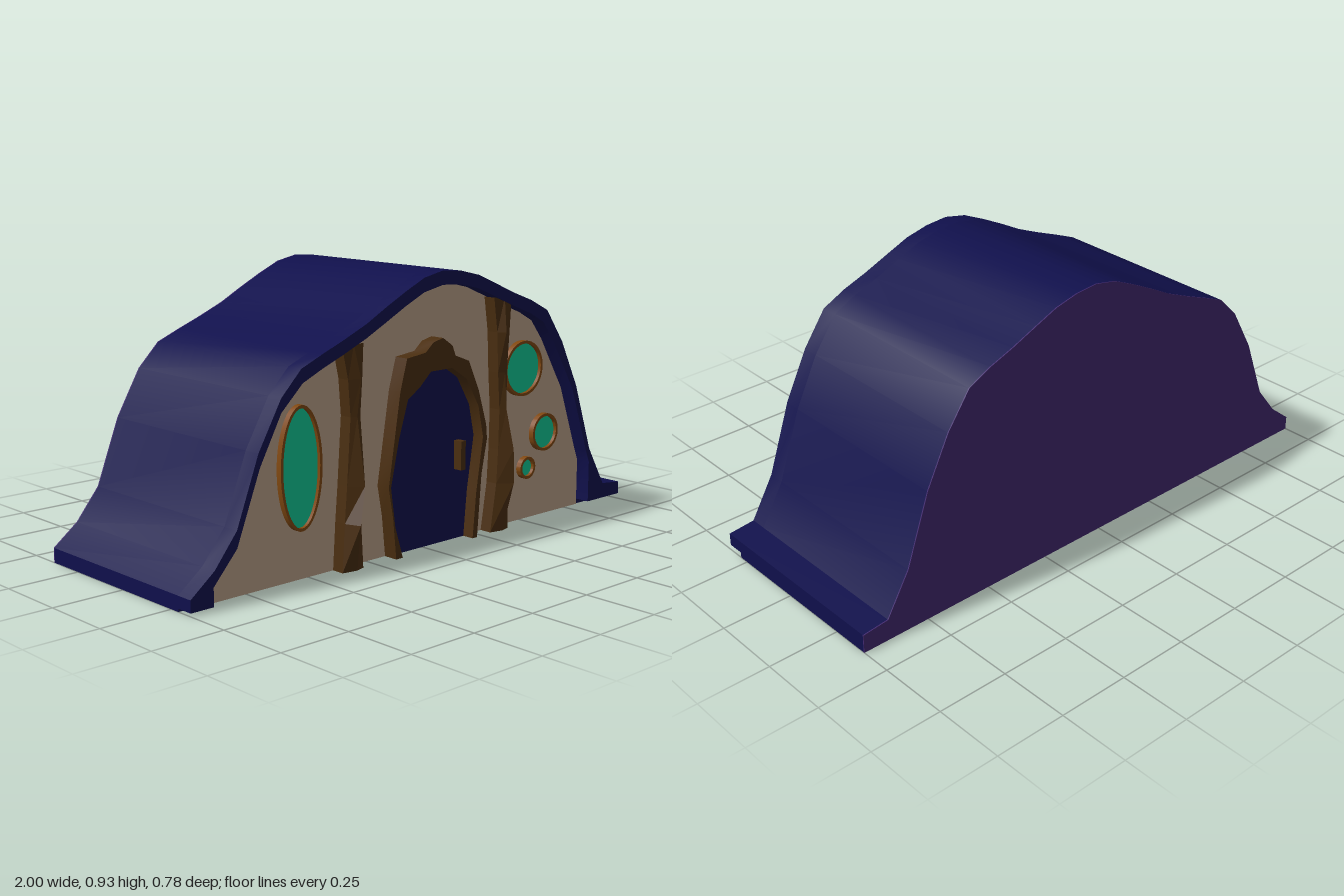
import * as THREE from 'three';
import { toCreasedNormals } from 'three/addons/utils/BufferGeometryUtils.js';

const BACK = -0.39, WALL = 0.29, FRONT = 0.345;

// Roof line from left to right, seen from the front
const ROOF = [[-1, 0.05], [-0.91, 0.12], [-0.825, 0.225], [-0.74, 0.445], [-0.65, 0.6], [-0.57, 0.68],
  [-0.485, 0.715], [-0.395, 0.75], [-0.3, 0.79], [-0.215, 0.835], [-0.13, 0.877], [-0.045, 0.915],
  [0.04, 0.932], [0.125, 0.925], [0.21, 0.905], [0.295, 0.87], [0.39, 0.83], [0.48, 0.797],
  [0.565, 0.755], [0.65, 0.635], [0.735, 0.465], [0.82, 0.22], [0.905, 0.075], [1, 0.065]];

// Underside of the overhanging roof, also the outline of the front wall
const INNER = [[-0.915, 0], [-0.915, 0.07], [-0.825, 0.17], [-0.735, 0.4], [-0.65, 0.555], [-0.565, 0.635],
  [-0.485, 0.67], [-0.395, 0.705], [-0.3, 0.745], [-0.215, 0.787], [-0.13, 0.83], [-0.045, 0.868],
  [0.04, 0.885], [0.125, 0.88], [0.21, 0.86], [0.295, 0.825], [0.39, 0.785], [0.48, 0.75],
  [0.545, 0.715], [0.6, 0.645], [0.715, 0.455], [0.8, 0.22], [0.82, 0.17], [0.82, 0]];

const DOOR_OUTER = [[-0.165, 0], [-0.18, 0.14], [-0.2, 0.245], [-0.175, 0.4], [-0.15, 0.555], [-0.12, 0.66],
  [-0.035, 0.67], [0, 0.7], [0.045, 0.71], [0.09, 0.68], [0.105, 0.645], [0.17, 0.62], [0.22, 0.515],
  [0.26, 0.39], [0.265, 0.34], [0.24, 0.22], [0.222, 0]];
const DOOR_INNER = [[-0.135, 0], [-0.17, 0.11], [-0.19, 0.245], [-0.155, 0.4], [-0.115, 0.525], [-0.06, 0.56],
  [-0.01, 0.605], [0.09, 0.605], [0.16, 0.56], [0.22, 0.46], [0.245, 0.35], [0.215, 0.16], [0.2, 0]];

const shapeOf = (pts) => new THREE.Shape(pts.map(([x, y]) => new THREE.Vector2(x, y)));

function slab(shape, z0, z1, curveSegments = 24) {
  const geo = new THREE.ExtrudeGeometry(shape, { depth: z1 - z0, bevelEnabled: false, curveSegments });
  geo.translate(0, 0, z0);
  return toCreasedNormals(geo, 0.6);
}

// Gnarled post lofted through rows of [y, left, right, ridge x, ridge z]
function postGeometry(rows) {
  const pos = [], idx = [], n = 5;
  for (const [y, x0, x1, rx, rz] of rows) {
    pos.push(x0, y, 0.28, x0, y, 0.335, rx, y, rz, x1, y, 0.335, x1, y, 0.28);
  }
  for (let r = 0; r < rows.length - 1; r++) {
    for (let k = 0; k < n - 1; k++) {
      const a = r * n + k, b = a + 1;
      idx.push(a, b, b + n, a, b + n, a + n);
    }
  }
  for (let k = 1; k < n - 1; k++) idx.push(0, k + 1, k);
  const geo = new THREE.BufferGeometry();
  geo.setAttribute('position', new THREE.Float32BufferAttribute(pos, 3));
  geo.setIndex(idx);
  const flat = geo.toNonIndexed();
  flat.computeVertexNormals();
  return flat;
}

export function createModel() {
  const group = new THREE.Group();
  const material = (name, color) => Object.assign(new THREE.MeshStandardMaterial({ color }), { name });
  const navy = material('navy', 0x10104c);
  const purple = material('purple', 0x42296f);
  const tan = material('tan', 0xbba089);
  const wood = material('dark wood', 0x4a2e10);
  const bronze = material('bronze', 0x804810);
  const teal = material('teal', 0x10c896);

  const add = (name, geo, mat, parent = group) => {
    const mesh = new THREE.Mesh(geo, mat);
    mesh.name = name;
    parent.add(mesh);
    return mesh;
  };

  // Main vault, closed by a flat back wall
  const outline = shapeOf([[-1, 0], ...ROOF, [1, 0]]);
  add('roofVault', slab(outline, BACK + 0.004, WALL - 0.005), navy);
  add('backWall', slab(outline, BACK, BACK + 0.004), purple);

  // Roof edge overhanging the front wall
  const edge = [[-1, 0.01], ...ROOF, [1, 0.02], [0.82, 0.02], ...INNER.slice(1, -1).reverse(), [-0.915, 0.01]];
  add('roofEdge', slab(shapeOf(edge), WALL - 0.005, FRONT), navy);
  add('frontWall', slab(shapeOf(INNER), WALL - 0.005, WALL), tan);

  // Door with its crooked frame and handle
  const door = new THREE.Group();
  door.name = 'door';
  group.add(door);
  add('doorPanel', slab(shapeOf(DOOR_INNER), WALL, WALL + 0.009), navy, door);
  add('doorFrame', slab(shapeOf([...DOOR_OUTER, ...[...DOOR_INNER].reverse()]), WALL, 0.343), wood, door);
  const handle = add('doorHandle', new THREE.BoxGeometry(0.022, 0.1, 0.035), wood, door);
  handle.position.set(0.16, 0.295, 0.315);

  // Tree-like posts beside the door
  add('rightPost', postGeometry([
    [0, -0.395, -0.305, -0.34, 0.345], [0.16, -0.385, -0.315, -0.365, 0.388], [0.28, -0.375, -0.32, -0.33, 0.37],
    [0.5, -0.36, -0.318, -0.34, 0.345], [0.62, -0.37, -0.31, -0.33, 0.352], [0.73, -0.395, -0.305, -0.35, 0.34],
  ]), wood);
  add('leftPost', postGeometry([
    [0, 0.298, 0.388, 0.35, 0.345], [0.17, 0.325, 0.385, 0.375, 0.372], [0.29, 0.332, 0.395, 0.37, 0.373],
    [0.43, 0.335, 0.368, 0.355, 0.35], [0.56, 0.325, 0.37, 0.35, 0.345], [0.7, 0.318, 0.38, 0.34, 0.357],
    [0.82, 0.3, 0.388, 0.345, 0.342],
  ]), wood);

  // Round windows: [x, y, half width, half height]
  const windows = [[-0.54, 0.36, 0.085, 0.2], [0.49, 0.552, 0.098, 0.098],
    [0.612, 0.307, 0.068, 0.068], [0.52, 0.19, 0.04, 0.04]];
  for (const [x, y, rx, ry] of windows) {
    const ring = new THREE.Shape().absellipse(x, y, rx, ry, 0, Math.PI * 2);
    const pane = new THREE.Shape().absellipse(x, y, rx - 0.01, ry - 0.01, 0, Math.PI * 2);
    ring.holes.push(pane);
    add('windowRim', slab(ring, WALL, WALL + 0.02), bronze);
    add('windowPane', slab(pane, WALL, WALL + 0.008), teal);
  }
  return group;
}
